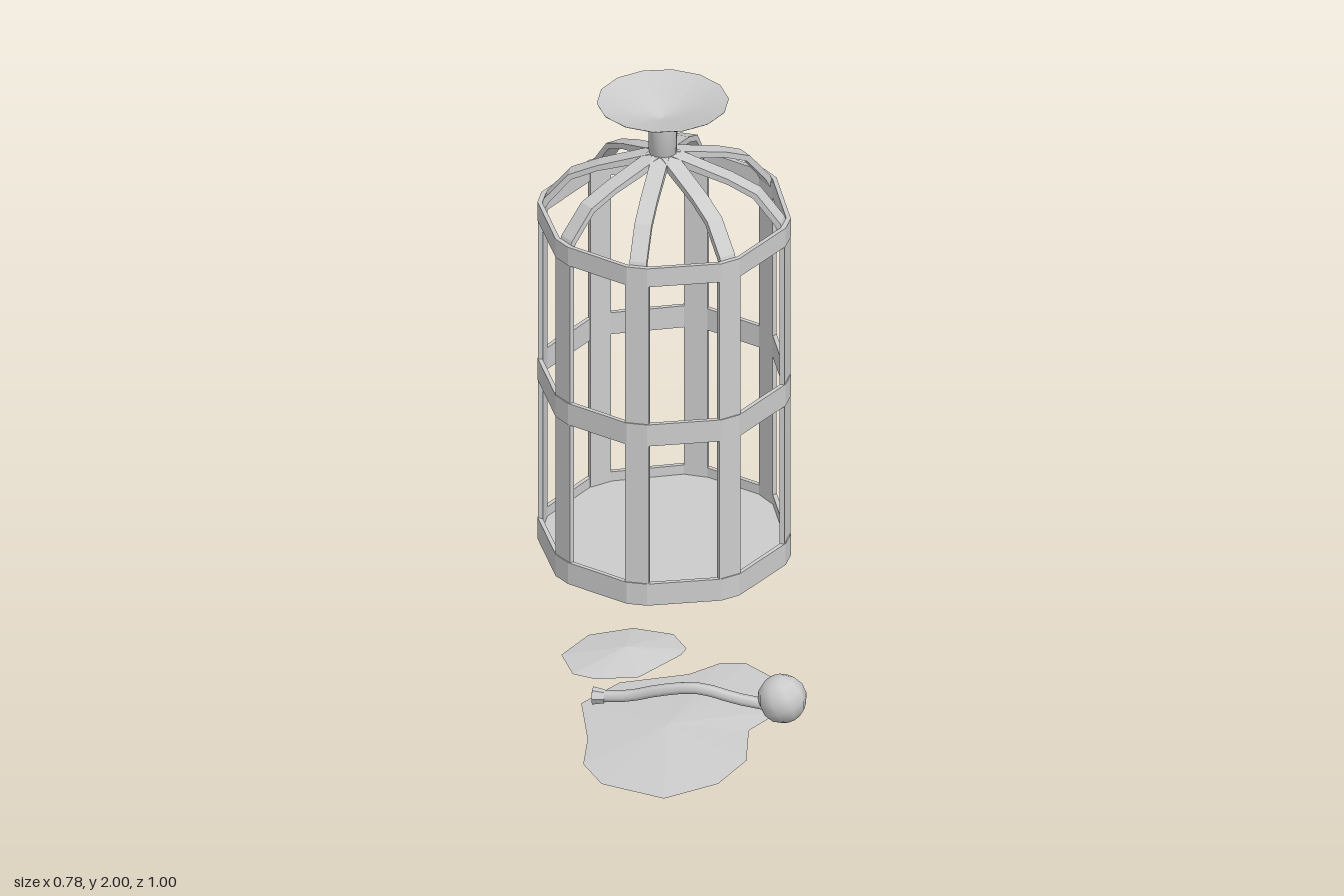
import * as THREE from 'three';

const CX = -0.03, CZ = -0.008; // cage axis
// where the eight uprights stand, as [x, z]
const POSTS = [[0.34, 0.03], [0.21, 0.28], [-0.05, 0.36], [-0.285, 0.245],
  [-0.39, -0.02], [-0.26, -0.28], [0.015, -0.375], [0.245, -0.26]];

export function createModel() {
  const model = new THREE.Group();
  const grey = new THREE.MeshStandardMaterial({ color: 0xcccccc, side: THREE.DoubleSide });
  const flat = new THREE.MeshStandardMaterial({ color: 0xcccccc, side: THREE.DoubleSide, flatShading: true });
  const add = (name, geometry, material = flat, parent = model) => {
    const mesh = new THREE.Mesh(geometry, material);
    mesh.name = name;
    parent.add(mesh);
    return mesh;
  };

  // outline with a small bevel at every post
  const outline = (inset) => POSTS.flatMap(([x, z]) => {
    const dx = x - CX, dz = z - CZ, r = Math.hypot(dx, dz);
    const nx = dx / r, nz = dz / r;
    return [-0.03, 0.03].map((s) => new THREE.Vector2(
      CX + nx * (r - inset) - nz * s, CZ + nz * (r - inset) + nx * s));
  });

  // horizontal slab or hoop between two heights
  const layer = (bottom, top, inset, wall) => {
    const shape = new THREE.Shape(outline(inset));
    if (wall) shape.holes.push(new THREE.Path(outline(inset + wall)));
    const g = new THREE.ExtrudeGeometry(shape, { depth: top - bottom, bevelEnabled: false });
    return g.rotateX(Math.PI / 2).translate(0, top, 0);
  };
  add('floor', layer(0.555, 0.59, 0.008, 0));
  add('bottomHoop', layer(0.55, 0.62, 0, 0.014));
  add('middleHoop', layer(1.07, 1.14, 0, 0.014));
  add('topHoop', layer(1.59, 1.65, 0, 0.014));

  // flat strap cut from a side profile of [radius, height]
  const strap = (profile, width) => {
    const shape = new THREE.Shape(profile.map(([r, y]) => new THREE.Vector2(r, y)));
    return new THREE.ExtrudeGeometry(shape, { depth: width, bevelEnabled: false })
      .translate(0, 0, -width / 2);
  };
  POSTS.forEach(([x, z]) => {
    const dx = x - CX, dz = z - CZ, r = Math.hypot(dx, dz) - 0.003;
    const post = new THREE.Group();
    post.name = 'cagePost';
    post.position.set(CX, 0, CZ);
    post.rotation.y = -Math.atan2(dz, dx);
    add('upright', strap([[r, 0.56], [r, 1.64], [r - 0.014, 1.64], [r - 0.014, 0.56]], 0.07), flat, post);
    add('domeRib', strap([[r, 1.62], [r - 0.015, 1.66], [r - 0.085, 1.745], [r - 0.17, 1.783], [0.02, 1.84],
      [0.02, 1.815], [r - 0.17, 1.765], [r - 0.095, 1.73], [r - 0.03, 1.65], [r - 0.014, 1.62]], 0.05), flat, post);
    model.add(post);
  });

  // neck and flared cup above the dome
  const lathe = (pts) => new THREE.LatheGeometry(pts.map(([r, y]) => new THREE.Vector2(r, y)), 14);
  add('neck', lathe([[0, 1.82], [0.04, 1.825], [0.043, 1.945]]), grey).position.set(CX, 0, CZ);
  add('flaredCup', lathe([[0.043, 1.94], [0.19, 1.998], [0.19, 2], [0.045, 1.955], [0, 1.945]]), grey)
    .position.set(CX, 0, CZ);

  // thin patches on the ground, slightly raised in the middle
  const patch = (name, cx, cz, rim) => {
    const pts = [cx, 0.025, cz], index = [];
    rim.forEach(([x, z], i) => {
      pts.push(x, 0, z);
      index.push(0, ((i + 1) % rim.length) + 1, i + 1);
    });
    const g = new THREE.BufferGeometry();
    g.setAttribute('position', new THREE.Float32BufferAttribute(pts, 3));
    g.setIndex(index);
    g.computeVertexNormals();
    add(name, g);
  };
  patch('largePatch', 0, 0.1, [[0.05, 0.5], [-0.14, 0.44], [-0.21, 0.33], [-0.22, 0.18], [-0.27, -0.03],
    [-0.18, -0.17], [0.01, -0.25], [0.09, -0.33], [0.16, -0.34], [0.27, -0.25], [0.31, -0.08],
    [0.23, 0.06], [0.25, 0.24], [0.19, 0.39]]);
  patch('smallPatch', -0.19, -0.34, [[-0.13, -0.21], [-0.03, -0.36], [-0.02, -0.4], [-0.07, -0.48],
    [-0.19, -0.5], [-0.31, -0.44], [-0.37, -0.31], [-0.32, -0.2], [-0.25, -0.18]]);

  // bent stalk with a rounded head
  const path = new THREE.CatmullRomCurve3([[-0.232, 0.045, 0], [-0.13, 0.055, 0.005], [-0.03, 0.09, 0.02],
    [0.08, 0.11, 0.03], [0.19, 0.08, 0.02], [0.29, 0.06, 0.01]].map((p) => new THREE.Vector3(...p)));
  add('stalk', new THREE.TubeGeometry(path, 12, 0.017, 6), grey);
  add('stalkEnd', new THREE.CylinderGeometry(0.026, 0.02, 0.035, 6).rotateZ(Math.PI / 2), flat)
    .position.set(-0.215, 0.045, 0);
  const head = add('head', new THREE.SphereGeometry(0.072, 9, 7), grey);
  head.position.set(0.32, 0.088, 0.015);
  head.rotation.z = 0.4;
  return model;
}
